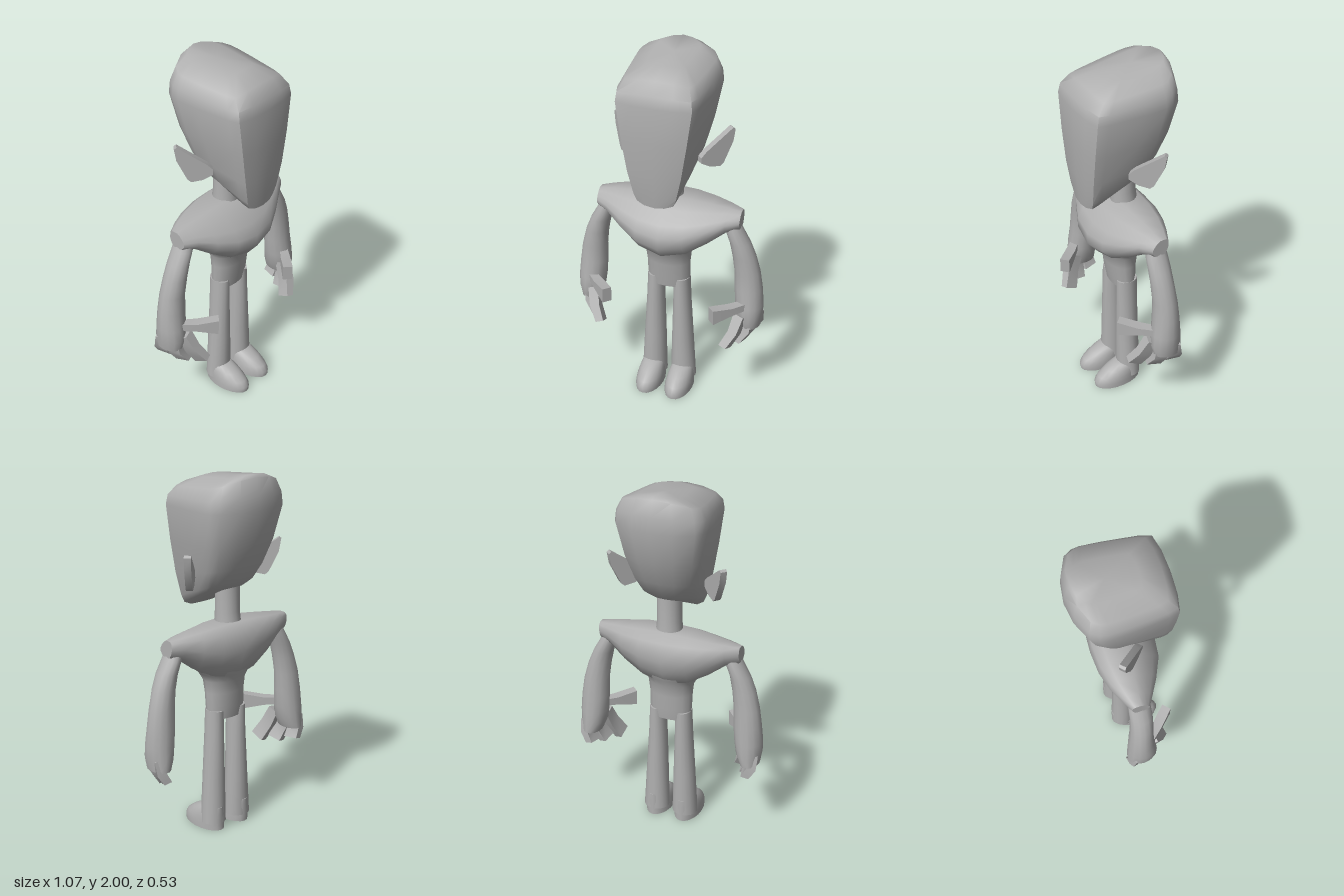
import * as THREE from 'three';
import { toCreasedNormals } from 'three/addons/utils/BufferGeometryUtils.js';

const grey = new THREE.MeshStandardMaterial({ color: 0xb0b0b0 });
grey.name = 'grey';

// Turn every triangle outward, judged by the signed volume, then smooth with creases.
function finish(geometry, crease) {
  const g = geometry.index ? geometry.toNonIndexed() : geometry;
  const p = g.attributes.position;
  const a = new THREE.Vector3(), b = new THREE.Vector3(), c = new THREE.Vector3();
  let volume = 0;
  for (let i = 0; i < p.count; i += 3) {
    a.fromBufferAttribute(p, i); b.fromBufferAttribute(p, i + 1); c.fromBufferAttribute(p, i + 2);
    volume += a.dot(b.cross(c));
  }
  if (volume < 0) {
    for (let i = 0; i < p.count; i += 3) {
      b.fromBufferAttribute(p, i + 1); c.fromBufferAttribute(p, i + 2);
      p.setXYZ(i + 1, c.x, c.y, c.z); p.setXYZ(i + 2, b.x, b.y, b.z);
    }
  }
  g.deleteAttribute('normal');
  return toCreasedNormals(g, crease);
}

// Closed skin through rings of [x, y, z] points, with a fan cap at each end.
function loft(rings, crease = 0.9) {
  const n = rings[0].length, last = (rings.length - 1) * n;
  const points = rings.flat(), index = [];
  for (const ring of [rings[0], rings[rings.length - 1]]) {
    points.push([0, 1, 2].map(k => ring.reduce((s, q) => s + q[k], 0) / n));
  }
  const end = rings.length * n;
  for (let i = 0; i < n; i++) {
    const j = (i + 1) % n;
    for (let r = 0; r < last; r += n) {
      index.push(r + i, r + j, r + n + j, r + i, r + n + j, r + n + i);
    }
    index.push(end, j, i, end + 1, last + i, last + j);
  }
  const g = new THREE.BufferGeometry();
  g.setAttribute('position', new THREE.Float32BufferAttribute(points.flat(), 3));
  g.setIndex(index);
  return finish(g, crease);
}

// Horizontal oval between x0..x1 and z0..z1.
function oval(y, x0, x1, z0, z1, n = 16) {
  return Array.from({ length: n }, (_, i) => {
    const t = i / n * Math.PI * 2;
    return [(x0 + x1) / 2 + (x1 - x0) / 2 * Math.cos(t), y, (z0 + z1) / 2 + (z1 - z0) / 2 * Math.sin(t)];
  });
}

// Four-sided tapered bar along a path of [x, y, z, width, thickness]; across is the width direction.
function bar(path, across) {
  const v = q => new THREE.Vector3(q[0], q[1], q[2]);
  const d = v(path[path.length - 1]).sub(v(path[0])).normalize();
  const s = v(across).addScaledVector(d, -v(across).dot(d)).normalize();
  const t = d.clone().cross(s);
  return loft(path.map(q => [[1, 1], [-1, 1], [-1, -1], [1, -1]].map(([i, j]) =>
    v(q).addScaledVector(s, i * q[3] / 2).addScaledVector(t, j * q[4] / 2).toArray())), 0.6);
}

export function createModel() {
  const model = new THREE.Group();
  const add = (name, geometry) => {
    const mesh = new THREE.Mesh(geometry, grey);
    mesh.name = name;
    model.add(mesh);
  };
  const pair = (name, geometry, crease = 0.9) => {
    add('left' + name, geometry);
    add('right' + name, finish(geometry.clone().scale(-1, 1, 1), crease));
  };

  // Head: tilted rings, each [front z, front y, back z, back y, half width, drop at the sides]
  const half = [[0, 0], [0.45, 0.01], [0.82, 0.045], [0.89, 0.15], [0.97, 0.5],
    [1, 0.72], [0.97, 0.8], [0.86, 0.885], [0.45, 0.97], [0, 1]];
  const outline = [...half, ...half.slice(1, -1).reverse().map(([x, t]) => [-x, t])];
  const headRings = [
    [0.21, 1.24, 0, 1.35, 0.085, 0],
    [0.238, 1.235, -0.08, 1.385, 0.12, -0.02],
    [0.245, 1.29, -0.12, 1.43, 0.14, 0],
    [0.258, 1.42, -0.17, 1.51, 0.175, 0],
    [0.265, 1.6, -0.225, 1.64, 0.21, 0],
    [0.266, 1.8, -0.268, 1.82, 0.243, 0],
    [0.255, 1.86, -0.262, 1.9, 0.236, 0.015],
    [0.21, 1.925, -0.24, 1.985, 0.205, 0.035],
    [0.1, 1.962, -0.225, 2.0, 0.11, 0.012],
  ];
  add('head', loft(headRings.map(([zf, yf, zb, yb, w, drop]) =>
    outline.map(([x, t]) => [x * w, yf + (yb - yf) * t - drop * x * x, zf + (zb - zf) * t])), 1.0));

  // Ears: thin slabs swept back at 45 degrees
  const earShape = new THREE.Shape([[-0.03, 1.47], [0, 1.5], [0.15, 1.605], [0.163, 1.595], [0.152, 1.53],
    [0.1, 1.42], [0.08, 1.402], [0.02, 1.412], [-0.03, 1.44]].map(q => new THREE.Vector2(...q)));
  const ear = new THREE.ExtrudeGeometry(earShape, { depth: 0.036, bevelEnabled: false });
  ear.rotateY(Math.PI / 4).translate(0.19, 0, 0.02);
  pair('Ear', finish(ear, 0.6), 0.6);

  // Neck
  add('neck', loft([oval(1.15, -0.075, 0.075, -0.095, 0.055), oval(1.25, -0.066, 0.066, -0.082, 0.05),
    oval(1.45, -0.066, 0.066, -0.082, 0.05)]));

  // Chest and shoulders: side outlines [depth, height] scaled along x
  const chest = [[0.52, 1], [0.72, 0.87], [0.9, 0.66], [1, 0.48], [1, 0.28], [0.83, 0.06],
    [0.45, 0], [0.2, 0.06], [0.07, 0.3], [0, 0.54], [0.03, 0.87], [0.16, 1]];
  const rightHalf = [[0.398, 1.065, 1.16, -0.05, 0.045], [0.33, 1.045, 1.172, -0.085, 0.085],
    [0.24, 0.975, 1.184, -0.122, 0.135], [0.13, 0.905, 1.196, -0.148, 0.185], [0, 0.87, 1.2, -0.155, 0.202]];
  const slices = [...rightHalf, ...rightHalf.slice(0, -1).reverse().map(([x, ...r]) => [-x, ...r])];
  add('chest', loft(slices.map(([x, y0, y1, z0, z1]) =>
    chest.map(([t, v]) => [x, y0 + (y1 - y0) * v, z0 + (z1 - z0) * t])), 1.0));

  // Waist and hips: [y, half width, back z, front z]
  add('waist', loft([[0.65, 0.112, -0.055, 0.062], [0.72, 0.121, -0.066, 0.075], [0.8, 0.122, -0.07, 0.087],
    [0.87, 0.13, -0.08, 0.1], [0.91, 0.15, -0.1, 0.13], [0.97, 0.22, -0.12, 0.15]]
    .map(([y, w, z0, z1]) => oval(y, -w, w, z0, z1))));

  // Legs and feet
  pair('Leg', loft([oval(0.04, 0.014, 0.158, -0.065, 0.07), oval(0.3, 0.02, 0.142, -0.06, 0.067),
    oval(0.55, 0.027, 0.126, -0.056, 0.064), oval(0.7, 0.03, 0.119, -0.056, 0.062)]));
  pair('Foot', loft([[0, 0.011, 0.161, 0.213], [0.03, 0.011, 0.161, 0.216], [0.06, 0.015, 0.158, 0.195],
    [0.095, 0.022, 0.151, 0.145], [0.12, 0.032, 0.141, 0.095], [0.135, 0.045, 0.128, 0.05]]
    .map(([y, x0, x1, z1]) => oval(y, x0, x1, -0.066, z1, 20))));

  // Arm flowing into the palm: [y, x0, x1, z0, z1]
  pair('Arm', loft([[1.1, 0.3, 0.385, -0.05, 0.05], [1.05, 0.315, 0.41, -0.06, 0.06],
    [0.98, 0.34, 0.45, -0.062, 0.062], [0.9, 0.356, 0.483, -0.066, 0.06], [0.8, 0.368, 0.51, -0.074, 0.056],
    [0.7, 0.37, 0.525, -0.082, 0.06], [0.6, 0.378, 0.534, -0.088, 0.072], [0.53, 0.39, 0.532, -0.093, 0.078],
    [0.47, 0.415, 0.522, -0.093, 0.065]].map(r => oval(...r, 14))));

  // Thumb pointing forward and inward
  pair('Thumb', bar([[0.44, 0.61, 0.045, 0.04, 0.045], [0.38, 0.607, 0.105, 0.045, 0.055],
    [0.298, 0.603, 0.187, 0.087, 0.053]], [0, 1, 0]), 0.6);

  // Three fingers curling down and inward: knuckle, middle, tip
  const fingers = [
    [[0.425, 0.55, 0.055], [0.405, 0.46, 0.095], [0.362, 0.38, 0.13]],
    [[0.465, 0.54, 0.02], [0.462, 0.45, 0.03], [0.418, 0.38, 0.045]],
    [[0.49, 0.54, -0.035], [0.488, 0.46, -0.045], [0.455, 0.405, -0.052]],
  ];
  for (const finger of fingers) {
    pair('Finger', bar(finger.map((q, i) => [...q, 0.065 + i * 0.008, 0.06 - i * 0.008]), [0.25, 0, -1]), 0.6);
  }
  return model;
}
